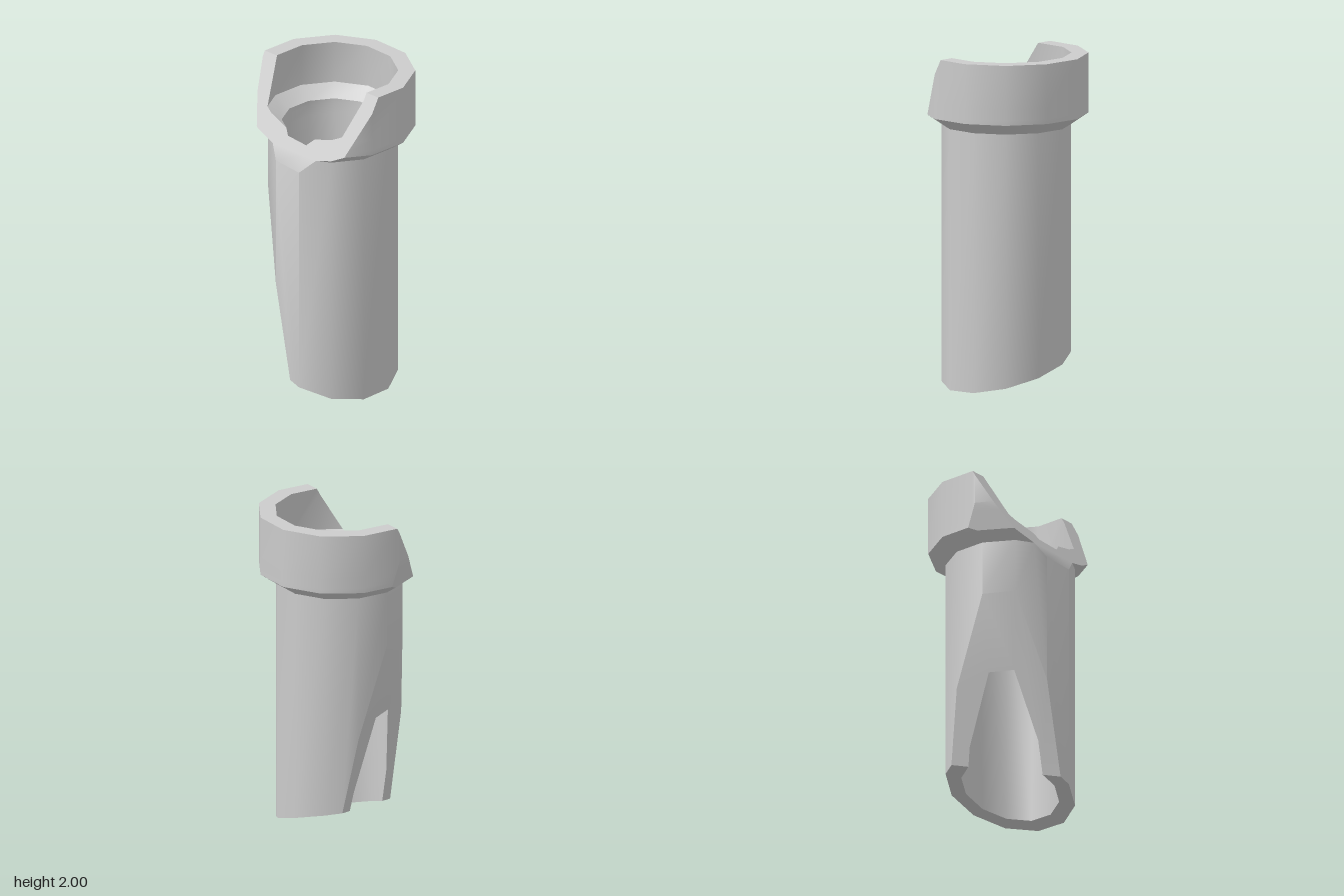
import * as THREE from 'three';
import { toCreasedNormals } from 'three/addons/utils/BufferGeometryUtils.js';

const V = (x, y, z) => new THREE.Vector3(x, y, z);
const SIDES = 12, TURN = 0.1606, CENTRE_Z = 0.047;

// Wall profile, top to bottom: [height, inner radius, outer radius]
const PROFILE = [
  [2.0, 0.387, 0.488],
  [1.735, 0.4, 0.488],
  [1.67, 0.304, 0.488],
  [1.64, 0.3037, 0.488],
  [1.57, 0.303, 0.385],
  [-0.1, 0.289, 0.385],
];

// Slanted cuts; material stays where normal . p <= d
const CUTS = [
  { n: V(0.1376, 0.545, 1), d: 1.231 },      // collar front
  { n: V(-0.809, -0.18, 0.588), d: 0.177 },  // lower side notch
  { n: V(-0.3, -1, 0), d: -0.115 },          // foot
];

function ringPoint(i, r, y) {
  const a = TURN + (i * Math.PI * 2) / SIDES;
  return V(r * Math.cos(a), y, CENTRE_Z + r * Math.sin(a));
}

// One convex wall block: faces with outward winding, and whether each is a real surface
function wallBlock(i, layer) {
  const [y1, in1, out1] = PROFILE[layer], [y0, in0, out0] = PROFILE[layer + 1];
  const p = [];
  for (const [y, a, b] of [[y0, in0, out0], [y1, in1, out1]])
    p.push(ringPoint(i, a, y), ringPoint(i, b, y), ringPoint(i + 1, b, y), ringPoint(i + 1, a, y));
  const mid = p.reduce((s, q) => s.add(q), V(0, 0, 0)).divideScalar(8);
  const face = (ids, shown) => {
    const pts = ids.map((k) => p[k]);
    const n = pts[1].clone().sub(pts[0]).cross(pts[2].clone().sub(pts[0]));
    if (n.dot(pts[0].clone().sub(mid)) < 0) pts.reverse();
    return { pts, shown };
  };
  return [
    face([0, 3, 7, 4], true), face([1, 2, 6, 5], true),
    face([0, 1, 5, 4], false), face([3, 2, 6, 7], false),
    face([4, 5, 6, 7], layer === 0),
    face([0, 1, 2, 3], layer === PROFILE.length - 2),
  ];
}

// Trim a convex block by a plane and close the cut with a cap
function cutBlock(faces, { n, d }) {
  const rim = [], result = [];
  const addRim = (q) => { if (!rim.some((r) => r.distanceTo(q) < 1e-6)) rim.push(q); };
  for (const { pts, shown } of faces) {
    const kept = [];
    pts.forEach((a, k) => {
      const b = pts[(k + 1) % pts.length];
      const da = n.dot(a) - d, db = n.dot(b) - d;
      if (da <= 0) kept.push(a);
      if ((da <= 0) !== (db <= 0)) {
        const q = a.clone().lerp(b, da / (da - db));
        kept.push(q);
        addRim(q);
      }
    });
    if (kept.length > 2) result.push({ pts: kept, shown });
  }
  if (rim.length > 2) {
    const mid = rim.reduce((s, q) => s.add(q), V(0, 0, 0)).divideScalar(rim.length);
    const u = rim[0].clone().sub(mid), v = n.clone().normalize().cross(u);
    const angle = (q) => Math.atan2(q.clone().sub(mid).dot(v), q.clone().sub(mid).dot(u));
    rim.sort((a, b) => angle(a) - angle(b));
    result.push({ pts: rim, shown: true });
  }
  return result;
}

function wallMesh(name, firstLayer, lastLayer, material) {
  const pos = [];
  for (let layer = firstLayer; layer <= lastLayer; layer++) {
    for (let i = 0; i < SIDES; i++) {
      const faces = CUTS.reduce(cutBlock, wallBlock(i, layer));
      for (const { pts, shown } of faces) {
        if (!shown) continue;
        for (let k = 1; k < pts.length - 1; k++)
          for (const q of [pts[0], pts[k], pts[k + 1]]) pos.push(q.x, q.y, q.z);
      }
    }
  }
  const geo = new THREE.BufferGeometry();
  geo.setAttribute('position', new THREE.Float32BufferAttribute(pos, 3));
  const mesh = new THREE.Mesh(toCreasedNormals(geo, 0.55), material);
  mesh.name = name;
  return mesh;
}

export function createModel() {
  const group = new THREE.Group();
  group.name = 'brokenPipe';
  const material = new THREE.MeshStandardMaterial({ color: 0xcccccc });
  group.add(wallMesh('collar', 0, 3, material));
  group.add(wallMesh('pipe', 4, 4, material));
  return group;
}
